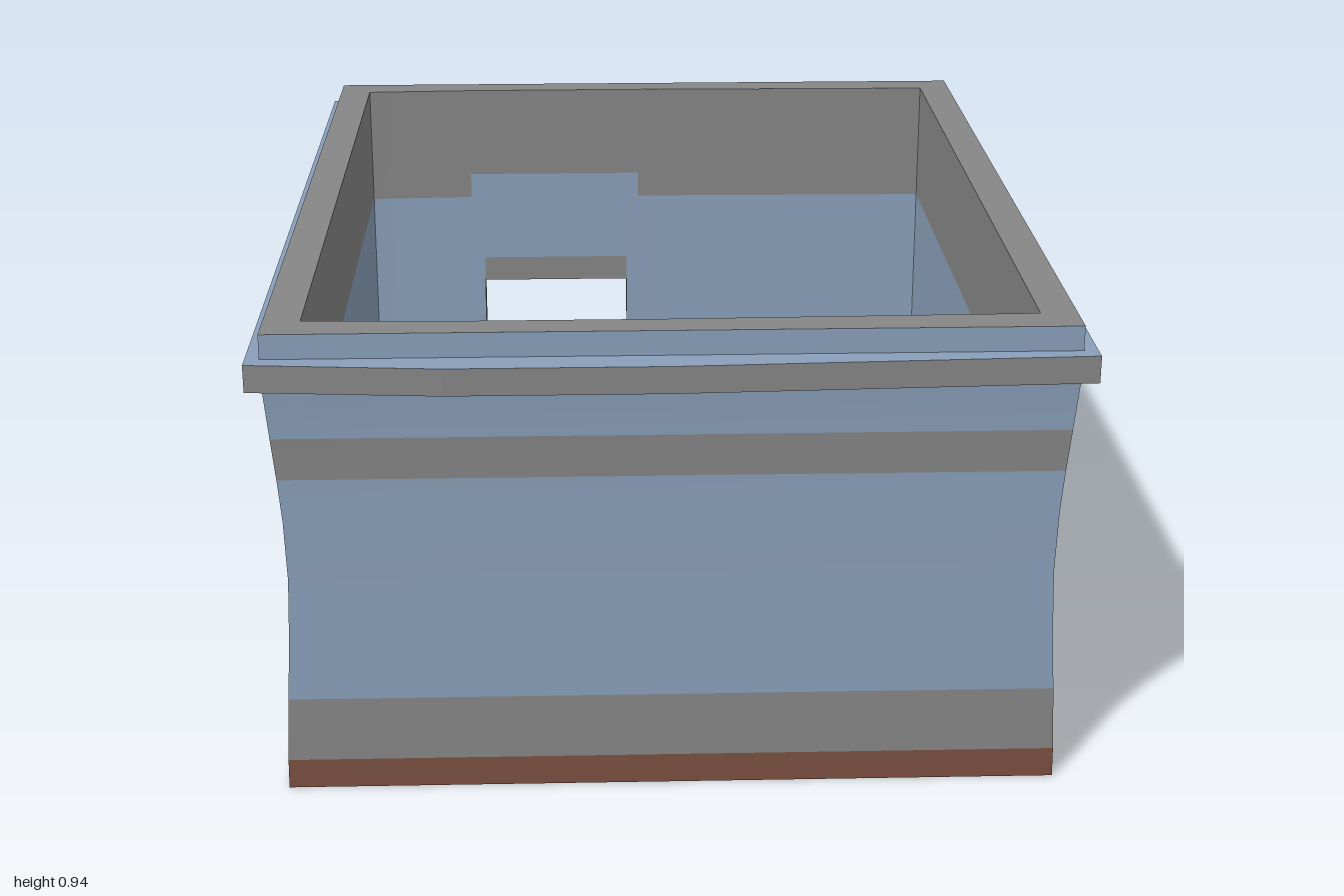
import * as THREE from 'three';
import { toCreasedNormals } from 'three/addons/utils/BufferGeometryUtils.js';

const mat = (name, color) => Object.assign(new THREE.MeshStandardMaterial({ color }), { name });

// Outer wall profile: [height, half width, half depth]
const PROFILE = [
  [0, 0.745, 0.935], [0.06, 0.744, 0.935], [0.19, 0.738, 0.933], [0.3, 0.731, 0.931],
  [0.44, 0.726, 0.93], [0.56, 0.73, 0.93], [0.645, 0.737, 0.931], [0.728, 0.745, 0.933],
  [0.82, 0.753, 0.938], [0.835, 0.754, 0.94], [0.885, 0.755, 0.94], [0.935, 0.755, 0.94],
];
const OUTER_ROWS = PROFILE.map((p) => p[0]);
const INNER_ROWS = [0, 0.06, 0.19, 0.44, 0.5, 0.66, 0.72, 0.935];
const TOP = 0.935;
const DOOR = { x0: -0.41, x1: -0.05, top: 0.44 };
const IN_X = 0.685, IN_Z = 0.865, IN_BULGE = 0.875;

function outerHalf(y, axis) {
  let i = 1;
  while (i < PROFILE.length - 1 && PROFILE[i][0] < y) i++;
  const a = PROFILE[i - 1], b = PROFILE[i];
  return THREE.MathUtils.mapLinear(y, a[0], b[0], a[axis], b[axis]);
}

const inDoor = (x, y) => x > DOOR.x0 && x < DOOR.x1 && y < DOOR.top;

// Grid of quads with a colour index per quad (-1 leaves a hole)
function panel(name, cols, rows, point, flip, colourAt, materials) {
  const buckets = materials.map(() => []);
  for (let j = 0; j < rows.length - 1; j++) {
    for (let i = 0; i < cols.length - 1; i++) {
      const c = colourAt((cols[i] + cols[i + 1]) / 2, (rows[j] + rows[j + 1]) / 2);
      if (c < 0) continue;
      const p = [point(cols[i], rows[j]), point(cols[i + 1], rows[j]),
        point(cols[i + 1], rows[j + 1]), point(cols[i], rows[j + 1])];
      const order = flip ? [0, 2, 1, 0, 3, 2] : [0, 1, 2, 0, 2, 3];
      order.forEach((k) => buckets[c].push(...p[k]));
    }
  }
  let geo = new THREE.BufferGeometry();
  geo.setAttribute('position', new THREE.Float32BufferAttribute(buckets.flat(), 3));
  geo = toCreasedNormals(geo, 0.6);
  let start = 0;
  buckets.forEach((b, c) => {
    if (b.length) geo.addGroup(start, b.length / 3, c);
    start += b.length / 3;
  });
  const mesh = new THREE.Mesh(geo, materials);
  mesh.name = name;
  return mesh;
}

const polygon = (pts) => new THREE.Shape(pts.map(([x, y]) => new THREE.Vector2(x, y)));
const rect = (hx, hz) => [[-hx, -hz], [hx, -hz], [hx, hz], [-hx, hz]];
// Rectangle whose long ends bow out slightly
const bowed = (hx, hz, bow) => [
  [-hx, -hz], [-0.42, -bow], [0, -bow], [hx, -hz], [hx, hz], [0, bow], [-0.42, bow], [-hx, hz],
];

export function createModel() {
  const model = new THREE.Group();
  model.name = 'walledRoom';
  const plaster = mat('blue plaster', 0x8aa0ba);
  const stone = mat('grey stone', 0x868686);
  const brick = mat('brown brick', 0x7a5040);
  const mats = [plaster, stone, brick];

  // Painted bands by height
  const outerColour = (u, y) => {
    if (y < 0.06) return 2;
    if (y < 0.19 || (y > 0.645 && y < 0.728) || (y > 0.82 && y < 0.835)) return 1;
    return 0;
  };
  const innerColour = (u, y) => (y < 0.06 ? 2 : y < 0.19 || y > 0.66 ? 1 : 0);

  // Back wall: doorway opening with a worn grey margin
  const backOuterColour = (x, y) => {
    if (inDoor(x, y)) return -1;
    if (y > 0.06 && y < DOOR.top && x > -0.44 && x < -0.02) return 1;
    return outerColour(x, y);
  };
  const backInnerColour = (x, y) => {
    if (inDoor(x, y)) return -1;
    if (x > DOOR.x0 && x < DOOR.x1 && y < 0.5) return 1;
    if (x > -0.44 && x < -0.02 && y > 0.66 && y < 0.72) return 0;
    return innerColour(x, y);
  };

  const xCols = [-1, -0.44, DOOR.x0, DOOR.x1, -0.02, 1];
  for (const s of [-1, 1]) {
    const back = s < 0;
    // Front and back walls; columns of +-1 snap to the corners
    panelAdd(back ? 'backWallOuter' : 'frontWallOuter', xCols, OUTER_ROWS,
      (u, y) => [Math.abs(u) === 1 ? u * outerHalf(y, 1) : u, y, s * outerHalf(y, 2)],
      back, back ? backOuterColour : outerColour);
    panelAdd(back ? 'backWallInner' : 'frontWallInner', xCols, INNER_ROWS,
      (u, y) => (Math.abs(u) === 1 ? [u * IN_X, y, s * IN_Z] : [u, y, s * IN_BULGE]),
      !back, back ? backInnerColour : innerColour);
    // Side walls
    const side = s > 0 ? 'left' : 'right';
    panelAdd(side + 'WallOuter', [-1, 0, 1], OUTER_ROWS,
      (u, y) => [s * outerHalf(y, 1), y, u * outerHalf(y, 2)], s > 0, outerColour);
    panelAdd(side + 'WallInner', [-1, 0, 1], INNER_ROWS,
      (u, y) => [s * IN_X, y, u * IN_Z], s < 0, innerColour);
  }
  function panelAdd(name, cols, rows, point, flip, colourAt) {
    model.add(panel(name, cols, rows, point, flip, colourAt, mats));
  }

  // Door jambs and lintel underside
  for (const x of [DOOR.x0, DOOR.x1]) {
    panelAdd('doorJamb', [0, 1], [0, 0.06, 0.19, 0.3, DOOR.top],
      (u, y) => [x, y, u ? -IN_BULGE : -outerHalf(y, 2)], x === DOOR.x0,
      (u, y) => (y < 0.06 ? 2 : 1));
  }
  panelAdd('doorLintel', [DOOR.x0, DOOR.x1], [-0.93, -IN_BULGE],
    (u, z) => [u, DOOR.top, z], false, () => 1);

  // Wall top
  const topShape = polygon(rect(0.755, 0.94));
  topShape.holes.push(polygon(bowed(IN_X, IN_Z, IN_BULGE)));
  const wallTop = new THREE.Mesh(new THREE.ShapeGeometry(topShape).rotateX(-Math.PI / 2), stone);
  wallTop.position.y = TOP;
  wallTop.name = 'wallTop';
  model.add(wallTop);

  // Underside, open at the doorway
  const baseShape = polygon([
    [DOOR.x1, -0.935], [0.745, -0.935], [0.745, 0.935], [-0.745, 0.935], [-0.745, -0.935],
    [DOOR.x0, -0.935], [DOOR.x0, -IN_BULGE], [-IN_X, -IN_Z], [-IN_X, IN_Z],
    [IN_X, IN_Z], [IN_X, -IN_Z], [DOOR.x1, -IN_BULGE],
  ]);
  const base = new THREE.Mesh(new THREE.ShapeGeometry(baseShape).rotateX(Math.PI / 2), brick);
  base.name = 'wallBase';
  model.add(base);

  // Projecting cornice ledge
  const ledgeShape = polygon(bowed(0.782, 0.97, 1));
  ledgeShape.holes.push(polygon(rect(0.73, 0.915)));
  const ledge = new THREE.Mesh(
    new THREE.ExtrudeGeometry(ledgeShape, { depth: 0.053, bevelEnabled: false }).rotateX(Math.PI / 2),
    [plaster, stone]);
  ledge.position.y = 0.887;
  ledge.name = 'corniceLedge';
  model.add(ledge);

  // Exposed bricks on the side walls: [x, y, z]
  const sideBricks = [[0.725, 0.42, -0.69], [0.725, 0.35, -0.737],
    [-0.73, 0.222, -0.5], [-0.73, 0.16, -0.565]];
  for (const [x, y, z] of sideBricks) {
    const b = new THREE.Mesh(new THREE.BoxGeometry(0.04, 0.06, 0.12), brick);
    b.position.set(x, y, z);
    b.name = 'sideBrick';
    model.add(b);
  }

  // Exposed bricks on the back wall: [x, y, chipped corner size]
  for (const [x, y, chip] of [[0.635, 0.463, 0], [0.38, 0.272, 0.04], [0.305, 0.195, 0.04]]) {
    const w = 0.065, h = 0.03;
    const pts = [[-w, -h], [w - chip, -h], [w, -h + chip * 0.8], [w, h], [-w, h]];
    const b = new THREE.Mesh(
      new THREE.ExtrudeGeometry(polygon(chip ? pts : rect(w, h)), { depth: 0.03, bevelEnabled: false }),
      brick);
    b.position.set(x, y, -0.943);
    b.name = 'backBrick';
    model.add(b);
  }
  return model;
}
